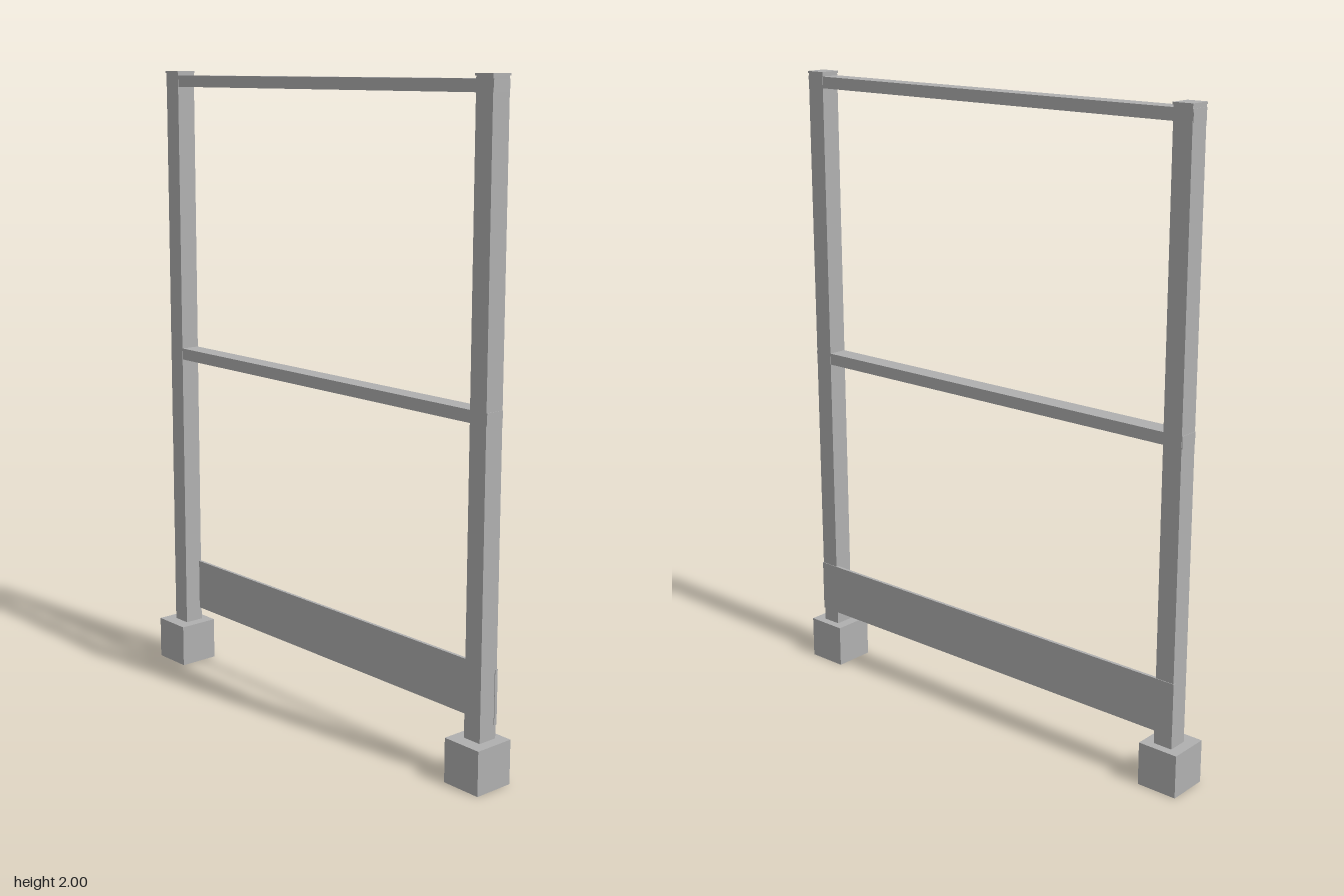
import * as THREE from 'three';

export function createModel() {
  const model = new THREE.Group();
  const grey = new THREE.MeshStandardMaterial({ color: 0xb0b0b0 });
  grey.name = 'galvanised grey';

  // Box given by its centre x and the ranges it spans in y and z
  function addBox(name, x, width, [y0, y1], [z0, z1]) {
    const mesh = new THREE.Mesh(new THREE.BoxGeometry(width, y1 - y0, z1 - z0), grey);
    mesh.name = name;
    mesh.position.set(x, (y0 + y1) / 2, (z0 + z1) / 2);
    model.add(mesh);
  }

  // Posts with their foot blocks and thin caps
  for (const [side, s] of [['left', 1], ['right', -1]]) {
    addBox(side + 'Foot', s * 0.695, 0.132, [0, 0.136], [-0.066, 0.066]);
    addBox(side + 'Post', s * 0.695, 0.062, [0.136, 1.993], [-0.04, 0.024]);
    addBox(side + 'PostCap', s * 0.695, 0.066, [1.993, 2], [-0.042, 0.026]);
  }

  // Horizontal rails, their ends just proud of the posts
  addBox('topRail', 0, 1.456, [1.95, 1.986], [-0.039, 0.023]);
  addBox('middleRail', 0, 1.456, [1.056, 1.093], [-0.039, 0.023]);

  // Thin kick board along the back of the posts
  addBox('kickBoard', 0, 1.456, [0.178, 0.345], [-0.042, -0.032]);

  return model;
}
